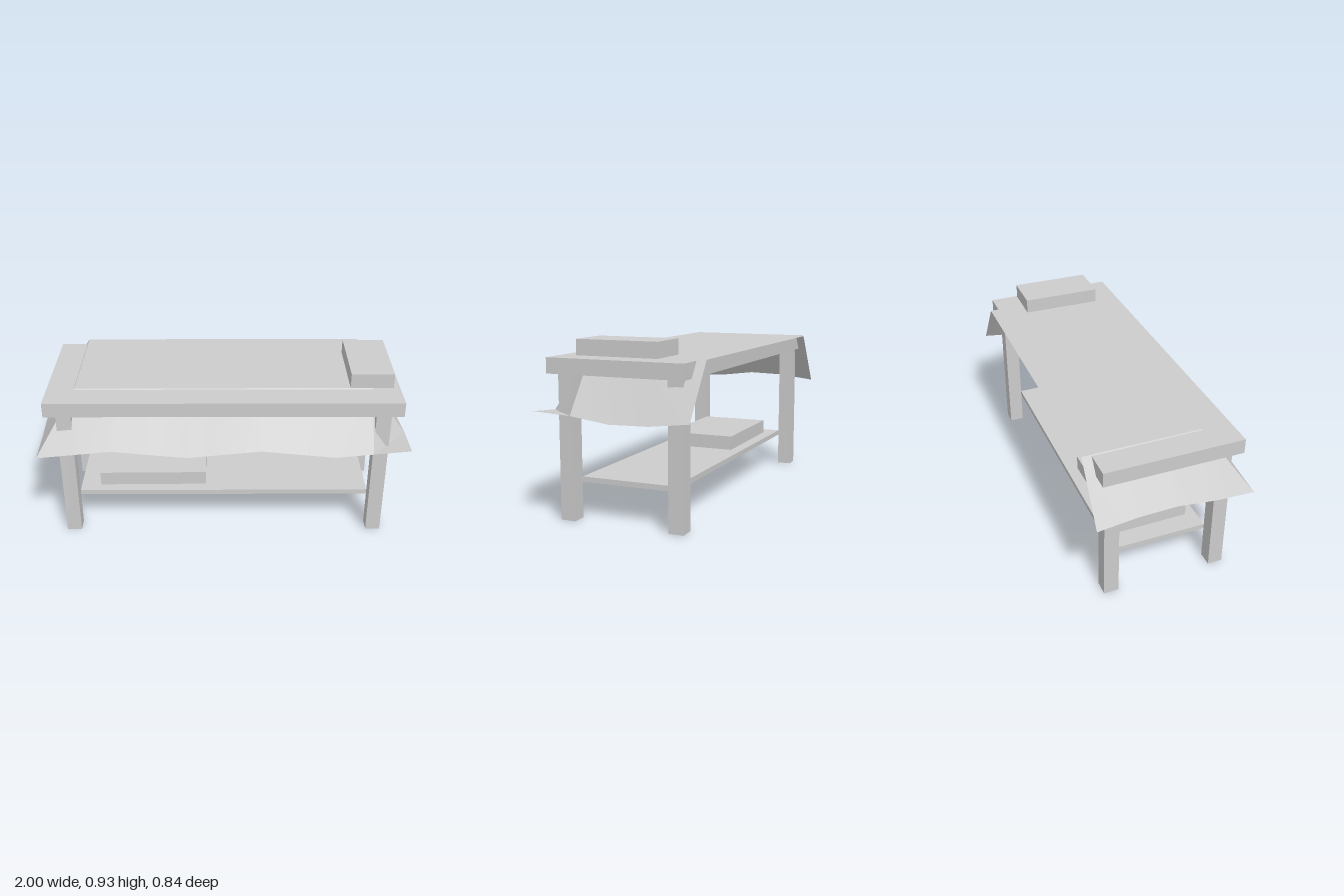
import * as THREE from 'three';
import { toCreasedNormals } from 'three/addons/utils/BufferGeometryUtils.js';

const grey = new THREE.MeshStandardMaterial({ color: 0xcccccc });
grey.name = 'plain grey';
grey.side = THREE.DoubleSide;

function box(name, w, h, d, x, bottom, z) {
  const mesh = new THREE.Mesh(new THREE.BoxGeometry(w, h, d), grey);
  mesh.name = name;
  mesh.position.set(x, bottom + h / 2, z);
  return mesh;
}

// Cloth lies flat on the top, open at the back, with wavy hems hanging on three sides
function makeCloth() {
  const geo = new THREE.PlaneGeometry(2, 0.84, 10, 4).rotateX(-Math.PI / 2);
  const pos = geo.attributes.position;
  const sideWave = [0.013, -0.012, -0.017, 0.01, 0.02]; // back to front
  for (let i = 0; i < pos.count; i++) {
    const x = pos.getX(i);
    const row = Math.floor(i / 11);
    let y = 0.839;
    if (Math.abs(x) > 0.9) y = 0.55 + Math.sign(x) * sideWave[row];
    else if (row === 4) y = 0.55 + 0.02 * Math.sin(2.5 * Math.PI * x);
    pos.setY(i, y);
  }
  const mesh = new THREE.Mesh(toCreasedNormals(geo, 0.6), grey);
  mesh.name = 'cloth';
  return mesh;
}

export function createModel() {
  const model = new THREE.Group();
  model.name = 'stallTable';

  // Table
  model.add(box('tableTop', 1.9, 0.08, 0.74, 0, 0.753, 0));
  model.add(box('shelf', 1.62, 0.028, 0.52, 0, 0.187, 0));
  for (const sx of [-1, 1]) {
    for (const sz of [-1, 1]) {
      model.add(box('leg', 0.08, 0.753, 0.08, sx * 0.85, 0, sz * 0.3));
    }
  }

  model.add(makeCloth());

  // Loose boxes, each turned a little
  const topBox = box('topBox', 0.23, 0.08, 0.44, 0.797, 0.845, 0);
  topBox.rotation.y = -0.012;
  const shelfBox = box('shelfBox', 0.6, 0.079, 0.395, -0.402, 0.215, 0.003);
  shelfBox.rotation.y = 0.01;
  model.add(topBox, shelfBox);

  return model;
}
